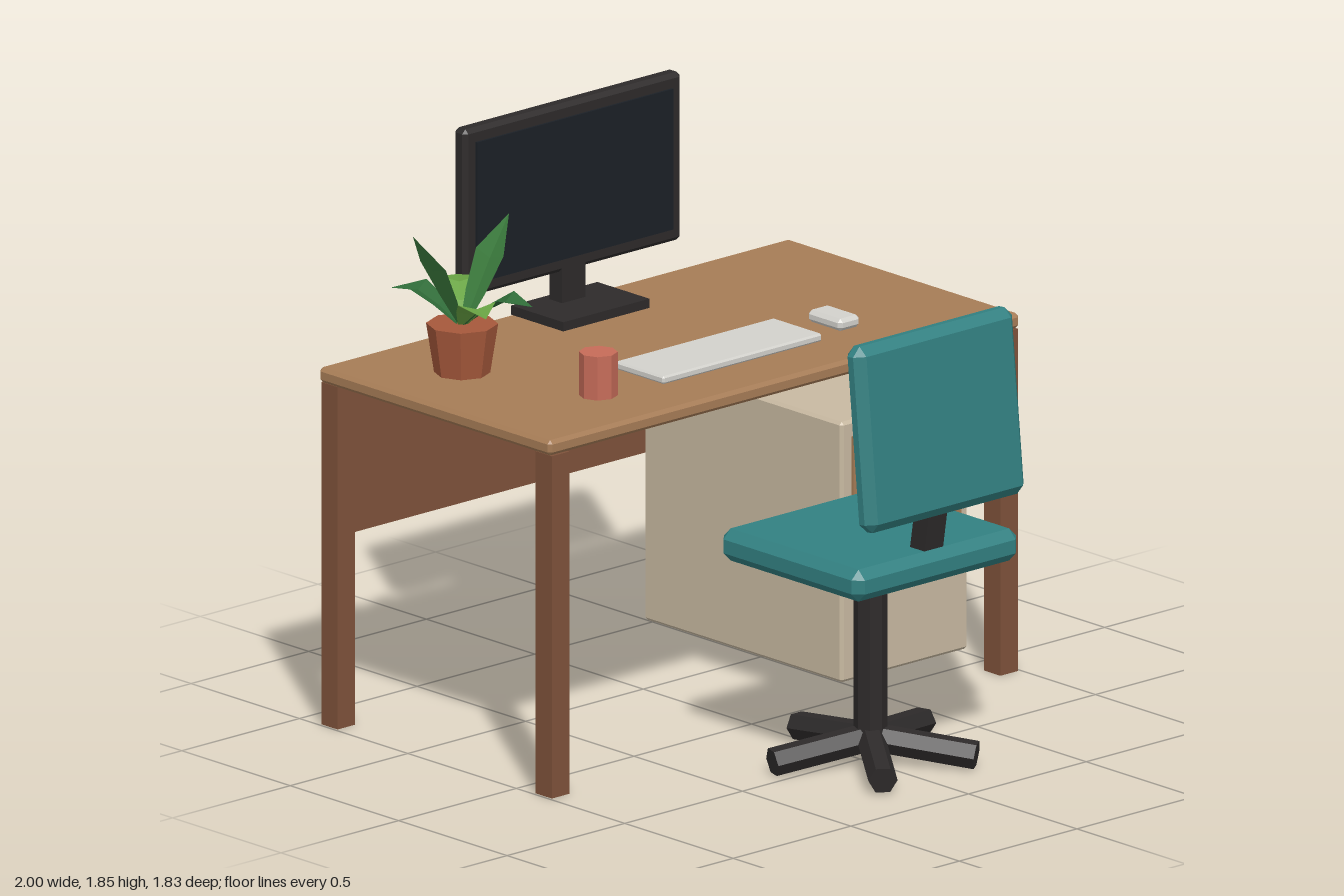
import * as THREE from 'three';
import { ConvexGeometry } from 'three/addons/geometries/ConvexGeometry.js';

const material = (color, side = THREE.FrontSide) => {
  const m = new THREE.MeshStandardMaterial({ color, flatShading: true });
  m.side = side;
  return m;
};
const wood = material(0xa67c56), darkWood = material(0x7e523a), cream = material(0xc8b9a1);
const teal = material(0x328081), black = material(0x2d2a2a), glass = material(0x1b2026);
const plastic = material(0xd2d1cc), clay = material(0xa5583b), mugPink = material(0xc56b58);
const greens = [0x2f6b38, 0x6aa544, 0x3c7d3e].map((c) => material(c, THREE.DoubleSide));

function add(parent, name, geometry, mat, x = 0, y = 0, z = 0) {
  const mesh = new THREE.Mesh(geometry, mat);
  mesh.name = name;
  mesh.position.set(x, y, z);
  parent.add(mesh);
  return mesh;
}

// Box with every edge cut by a single chamfer of width b
function chamferBox(w, h, d, b) {
  const points = [];
  for (const sx of [-0.5, 0.5]) for (const sy of [-0.5, 0.5]) for (const sz of [-0.5, 0.5]) {
    for (let full = 0; full < 3; full++) {
      const cut = [0, 1, 2].map((i) => (i === full ? 0 : 2 * b));
      points.push(new THREE.Vector3(sx * (w - cut[0]), sy * (h - cut[1]), sz * (d - cut[2])));
    }
  }
  return new ConvexGeometry(points);
}

// Block given by its limits on each axis
function block(parent, name, mat, [x0, x1], [y0, y1], [z0, z1], b = 0) {
  const size = [x1 - x0, y1 - y0, z1 - z0];
  const geometry = b ? chamferBox(...size, b) : new THREE.BoxGeometry(...size);
  return add(parent, name, geometry, mat, (x0 + x1) / 2, (y0 + y1) / 2, (z0 + z1) / 2);
}

// Folded leaf: each section is [distance out, height, half width], edges lifted above the rib
function leafGeometry(sections) {
  const position = [], index = [];
  sections.forEach(([r, y, w], i) => {
    position.push(r, y + w * 0.3, -w, r, y, 0, r, y + w * 0.3, w);
    if (i === 0) return;
    for (const k of [0, 1]) {
      const a = 3 * (i - 1) + k, c = a + 3;
      index.push(a, a + 1, c, a + 1, c + 1, c);
    }
  });
  const geometry = new THREE.BufferGeometry();
  geometry.setAttribute('position', new THREE.Float32BufferAttribute(position, 3));
  geometry.setIndex(index);
  geometry.computeVertexNormals();
  return geometry;
}

function makeDesk() {
  const desk = new THREE.Group();
  desk.name = 'desk';
  block(desk, 'desktop', wood, [-1, 1], [1.12, 1.17], [-0.915, 0.155], 0.012);
  for (const x of [-0.953, 0.953]) for (const z of [-0.872, 0.116]) {
    add(desk, 'deskLeg', new THREE.BoxGeometry(0.075, 1.12, 0.075), darkWood, x, 0.56, z);
  }
  block(desk, 'backPanel', darkWood, [-0.92, 0.92], [0.62, 1.08], [-0.895, -0.86]);
  block(desk, 'drawerCabinet', cream, [0.31, 0.85], [0.085, 0.937], [-0.835, 0.078], 0.01);
  for (const y of [0.36, 0.67]) {
    block(desk, 'drawerFront', wood, [0.353, 0.813], [y, y + 0.215], [0.06, 0.086]);
  }
  return desk;
}

function makeMonitor() {
  const monitor = new THREE.Group();
  monitor.name = 'monitor';
  block(monitor, 'monitorBase', black, [-0.183, 0.183], [1.17, 1.2], [-0.91, -0.67]);
  block(monitor, 'monitorNeck', black, [-0.05, 0.05], [1.19, 1.33], [-0.877, -0.82]);
  block(monitor, 'monitorFrame', black, [-0.462, 0.462], [1.3, 1.85], [-0.878, -0.82], 0.014);
  block(monitor, 'monitorScreen', glass, [-0.417, 0.417], [1.345, 1.805], [-0.83, -0.812]);
  return monitor;
}

function makePlant() {
  const plant = new THREE.Group();
  plant.name = 'plant';
  plant.position.set(-0.705, 0, -0.57);
  add(plant, 'pot', new THREE.CylinderGeometry(0.113, 0.088, 0.16, 8), clay, 0, 1.25, 0);
  const low = [[0.005, 1.32, 0.015], [0.08, 1.38, 0.045], [0.15, 1.42, 0.062], [0.245, 1.415, 0]];
  const tall = [[0.005, 1.32, 0.015], [0.055, 1.41, 0.045], [0.115, 1.52, 0.065], [0.195, 1.65, 0]];
  // Tip direction in x and z, and which outline the leaf follows
  const leaves = [[-0.1, -0.235, low], [0.15, -0.185, low], [0.2, 0.005, tall],
    [0.09, 0.225, low], [-0.1, 0.215, low], [-0.185, -0.015, tall]];
  leaves.forEach(([x, z, sections], i) => {
    const leaf = add(plant, 'leaf', leafGeometry(sections), greens[i % 3]);
    leaf.rotation.y = Math.atan2(-z, x);
  });
  return plant;
}

function makeChair() {
  const chair = new THREE.Group();
  chair.name = 'chair';
  block(chair, 'seat', teal, [-0.35, 0.35], [0.66, 0.765], [0.22, 0.87], 0.03);
  const back = add(chair, 'backrest', chamferBox(0.675, 0.6, 0.085, 0.03), teal, 0, 1.19, 0.848);
  back.rotation.x = -0.1;
  const support = add(chair, 'backSupport', new THREE.BoxGeometry(0.08, 0.24, 0.065), black, 0, 0.81, 0.814);
  support.rotation.x = 0.16;
  add(chair, 'column', new THREE.CylinderGeometry(0.053, 0.053, 0.6, 8), black, 0, 0.36, 0.548);

  // Star base: five sloping six-sided arms
  const arm = new THREE.CylinderGeometry(0.046, 0.046, 0.34, 6);
  arm.rotateY(Math.PI / 6).rotateX(Math.PI / 2).translate(0, 0, 0.17).rotateX(0.12);
  for (let i = 0; i < 5; i++) {
    const mesh = add(chair, 'baseArm', arm, black, 0, 0.085, 0.548);
    mesh.rotation.y = Math.PI + (i * 2 * Math.PI) / 5;
  }
  return chair;
}

export function createModel() {
  const model = new THREE.Group();
  model.name = 'workstation';
  model.add(makeDesk(), makeMonitor(), makePlant(), makeChair());
  block(model, 'keyboard', plastic, [-0.338, 0.338], [1.172, 1.198], [-0.265, -0.04], 0.006);
  block(model, 'mouse', plastic, [0.445, 0.535], [1.17, 1.21], [-0.23, -0.075], 0.012);
  add(model, 'cup', new THREE.CylinderGeometry(0.061, 0.061, 0.142, 8), mugPink, -0.555, 1.241, -0.105);
  return model;
}
